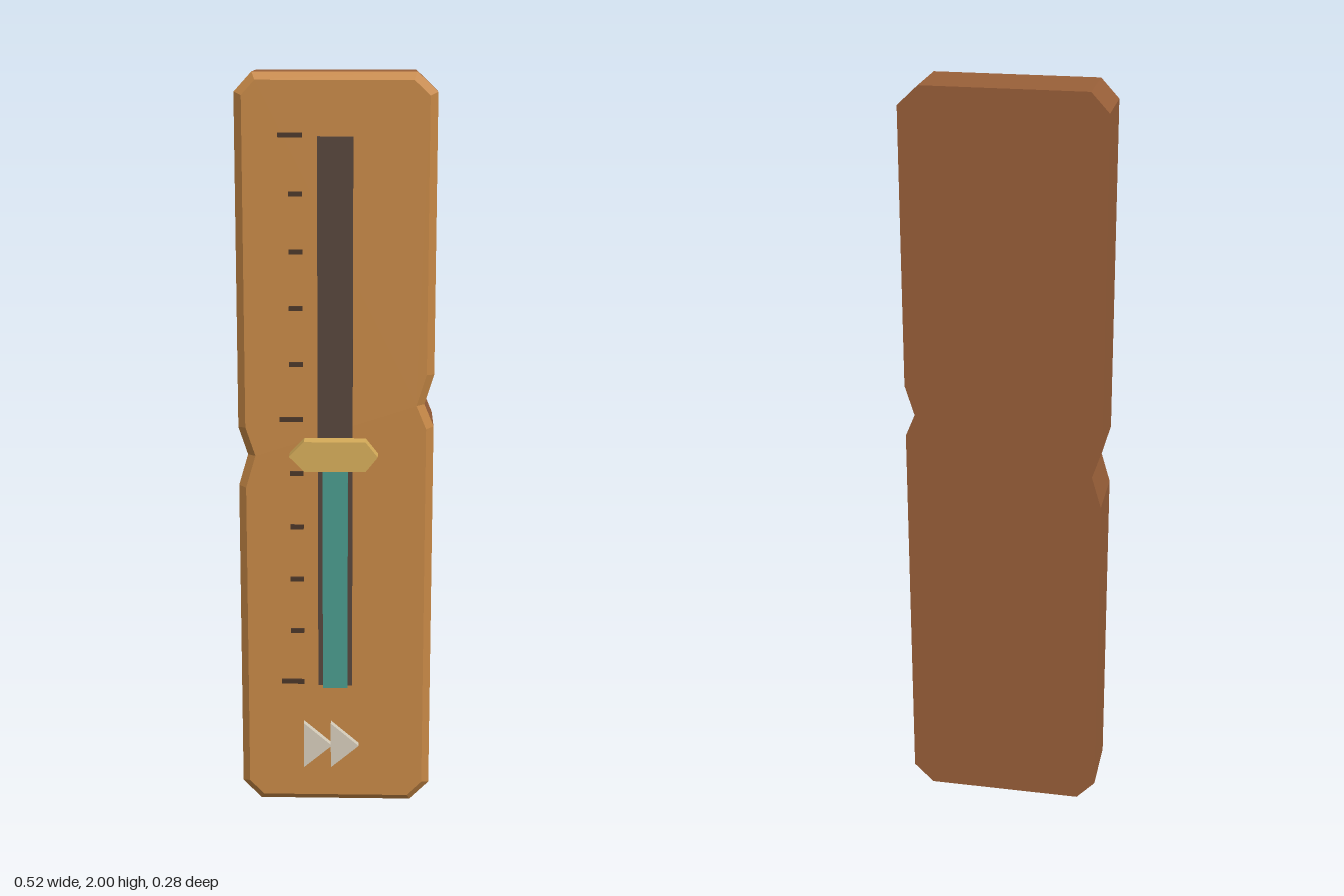
import * as THREE from 'three';

const material = (name, color) => {
  const m = new THREE.MeshStandardMaterial({ color });
  m.name = name;
  return m;
};

const toShape = (pts) => new THREE.Shape(pts.map(([x, y]) => new THREE.Vector2(x, y)));

// Flat prism from an outline, between two depths
const prism = (pts, z0, z1) =>
  new THREE.ExtrudeGeometry(toShape(pts), { depth: z1 - z0, bevelEnabled: false }).translate(0, 0, z0);

const rect = (x0, x1, y0, y1) => [[x0, y0], [x1, y0], [x1, y1], [x0, y1]];

// Move every edge of a counter-clockwise outline inwards by d
function inset(pts, d) {
  const n = pts.length;
  const normal = (a, b) => new THREE.Vector2(a[1] - b[1], b[0] - a[0]).normalize();
  return pts.map((p, i) => {
    const n1 = normal(pts[(i + n - 1) % n], p);
    const n2 = normal(p, pts[(i + 1) % n]);
    const k = d / (1 + n1.dot(n2));
    return [p[0] + (n1.x + n2.x) * k, p[1] + (n1.y + n2.y) * k];
  });
}

// Sloping strip joining two outlines
function strip(outer, z0, inner, z1) {
  const pos = [];
  outer.forEach((a, i) => {
    const j = (i + 1) % outer.length;
    const A = [...a, z0], B = [...outer[j], z0], C = [...inner[j], z1], D = [...inner[i], z1];
    pos.push(...A, ...B, ...C, ...A, ...C, ...D);
  });
  const g = new THREE.BufferGeometry();
  g.setAttribute('position', new THREE.Float32BufferAttribute(pos, 3));
  g.computeVertexNormals();
  return g;
}

export function createModel() {
  const model = new THREE.Group();
  model.name = 'sliderGauge';
  const brown = material('brown wood', 0x9a6039);
  const amber = material('amber wood', 0xc68846);
  const dark = material('dark slot', 0x57453b);
  const ink = material('tick brown', 0x4a3628);
  const teal = material('teal', 0x499a8c);
  const gold = material('gold', 0xd6ac59);
  const cream = material('cream', 0xd5ccba);

  const add = (name, geometry, mat, parent = model) => {
    const mesh = new THREE.Mesh(geometry, mat);
    mesh.name = name;
    parent.add(mesh);
    return mesh;
  };

  // Board with cut corners and a notch in each long edge
  const outline = [
    [-0.21, 0], [0.207, 0], [0.26, 0.053],
    [0.26, 1.08], [0.235, 1.14], [0.26, 1.22],
    [0.26, 1.95], [0.207, 2], [-0.214, 2], [-0.26, 1.95],
    [-0.26, 1.075], [-0.235, 1.0], [-0.26, 0.915], [-0.26, 0.053],
  ];
  const face = inset(outline, 0.02);
  add('board', prism(outline, -0.139, 0.034), brown);
  add('frontBevel', strip(outline, 0.034, face, 0.053), amber);
  add('frontFace', new THREE.ShapeGeometry(toShape(face)).translate(0, 0, 0.053), amber);

  // Slot and its filled lower part
  add('slot', prism(rect(-0.047, 0.045, 0.356, 1.84), 0.053, 0.073), dark);
  add('fillBar', prism(rect(-0.034, 0.033, 0.356, 1.02), 0.073, 0.092), teal);

  // Pointed slider handle
  add('handle', prism([
    [-0.12, 1.02], [-0.081, 0.98], [0.08, 0.98],
    [0.112, 1.02], [0.08, 1.06], [-0.081, 1.06],
  ], 0.091, 0.137), gold);

  // Scale ticks, longer at both ends and the middle
  const ticks = new THREE.Group();
  ticks.name = 'ticks';
  model.add(ticks);
  for (let i = 0; i <= 10; i++) {
    const y = 0.36 + i * 0.1483;
    const x0 = i % 5 === 0 ? -0.148 : -0.122;
    add('tick', prism(rect(x0, -0.086, y - 0.006, y + 0.006), 0.053, 0.06), ink, ticks);
  }

  // Two arrowheads at the foot
  for (const x of [-0.087, -0.013]) {
    add('arrowhead', prism([[x, 0.115], [x + 0.077, 0.18], [x, 0.246]], 0.06, 0.081), cream);
  }

  return model;
}
